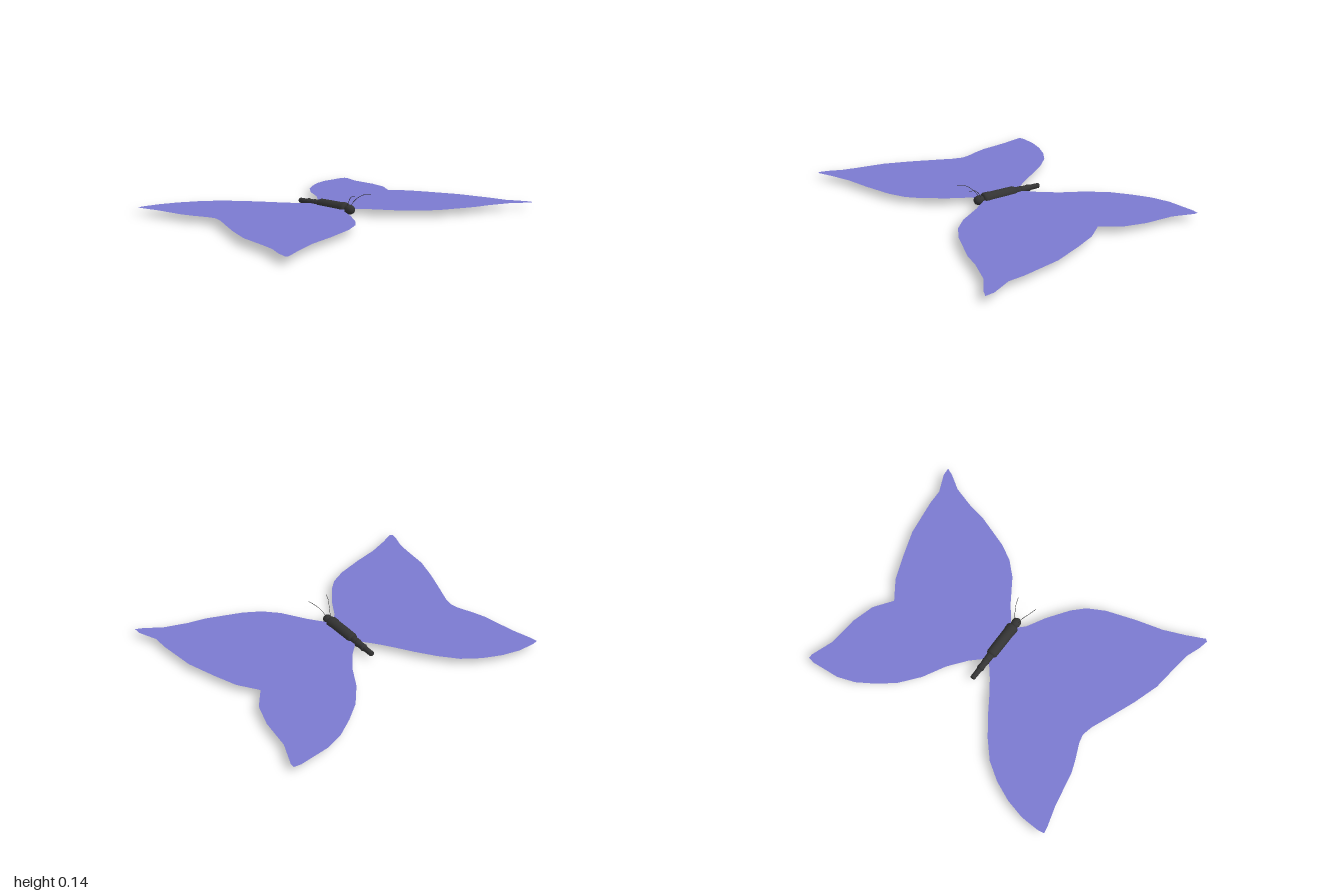
import * as THREE from 'three';

const AXIS_Y = 0.038;
const dark = new THREE.MeshStandardMaterial({ color: 0x333333 });
const wingMat = new THREE.MeshStandardMaterial({ color: 0x7b7ad0, side: THREE.DoubleSide });

// Wing outlines as [x, z], from the rear root round to the front root
const rightWing = [
  [0, -0.13], [-0.04, -0.17], [-0.085, -0.225], [-0.145, -0.31], [-0.21, -0.41], [-0.29, -0.52],
  [-0.38, -0.62], [-0.485, -0.69], [-0.6, -0.74], [-0.715, -0.768], [-0.825, -0.772],
  [-0.866, -0.765], [-0.86, -0.725], [-0.828, -0.6], [-0.797, -0.4], [-0.77, -0.32],
  [-0.733, -0.23], [-0.722, -0.175], [-0.738, -0.11], [-0.79, 0.01], [-0.855, 0.165],
  [-0.91, 0.325], [-0.936, 0.51], [-0.952, 0.6], [-0.984, 0.68], [-1, 0.745], [-0.985, 0.757],
  [-0.877, 0.705], [-0.743, 0.65], [-0.578, 0.607], [-0.396, 0.548], [-0.29, 0.49],
  [-0.22, 0.42], [-0.128, 0.29], [-0.064, 0.175], [0, 0.11],
];
const leftWing = [
  [0, -0.13], [0.085, -0.21], [0.17, -0.318], [0.246, -0.457], [0.342, -0.575], [0.444, -0.655],
  [0.545, -0.719], [0.652, -0.757], [0.825, -0.773], [0.866, -0.767], [0.866, -0.74],
  [0.82, -0.607], [0.807, -0.425], [0.77, -0.286], [0.69, -0.174], [0.775, -0.056],
  [0.834, 0.088], [0.898, 0.265], [0.936, 0.5], [0.941, 0.596], [0.995, 0.714], [1, 0.767],
  [0.952, 0.746], [0.856, 0.682], [0.711, 0.634], [0.6, 0.612], [0.385, 0.532],
  [0.283, 0.473], [0.198, 0.388], [0.102, 0.238], [0.032, 0.147], [0, 0.11],
];

function addWing(group, name, outline) {
  const shape = new THREE.Shape(outline.map(([x, z]) => new THREE.Vector2(x, -z)));
  const wing = new THREE.Mesh(new THREE.ShapeGeometry(shape).rotateX(-Math.PI / 2), wingMat);
  wing.name = name;
  wing.position.y = AXIS_Y;
  group.add(wing);
}

// Turned part lying along z; profile is [z, radius] from tail to head
function addTurned(group, name, profile) {
  const points = profile.map(([z, r]) => new THREE.Vector2(r, z));
  const mesh = new THREE.Mesh(new THREE.LatheGeometry(points, 20).rotateX(Math.PI / 2), dark);
  mesh.name = name;
  mesh.position.y = AXIS_Y;
  group.add(mesh);
}

export function createModel() {
  const model = new THREE.Group();
  model.name = 'butterfly';

  addWing(model, 'rightWing', rightWing);
  addWing(model, 'leftWing', leftWing);

  // Body
  addTurned(model, 'abdomenTip', [
    [-0.285, 0], [-0.285, 0.013], [-0.28, 0.016], [-0.21, 0.017], [-0.205, 0]]);
  addTurned(model, 'abdomenMiddle', [
    [-0.22, 0], [-0.216, 0.019], [-0.205, 0.023], [-0.19, 0.02], [-0.165, 0.02],
    [-0.15, 0.024], [-0.135, 0.02], [-0.13, 0]]);
  addTurned(model, 'abdomenBase', [
    [-0.15, 0], [-0.147, 0.02], [-0.135, 0.023], [-0.09, 0.024], [-0.085, 0]]);
  addTurned(model, 'thorax', [
    [-0.104, 0], [-0.104, 0.022], [-0.1, 0.03], [-0.09, 0.034], [0, 0.035], [0.075, 0.035],
    [0.085, 0.037], [0.115, 0.038], [0.125, 0.034], [0.129, 0.026], [0.129, 0]]);
  addTurned(model, 'head', [
    [0.12, 0], [0.125, 0.018], [0.135, 0.025], [0.15, 0.029], [0.165, 0.028],
    [0.178, 0.022], [0.185, 0.012], [0.187, 0]]);

  // Antennae
  for (const side of [-1, 1]) {
    const curve = new THREE.CatmullRomCurve3([
      [0.014, 0.055, 0.15], [0.02, 0.079, 0.162], [0.032, 0.107, 0.187],
      [0.05, 0.128, 0.22], [0.065, 0.136, 0.265],
    ].map(([x, y, z]) => new THREE.Vector3(side * x, y, z)));
    const antenna = new THREE.Mesh(new THREE.TubeGeometry(curve, 16, 0.0015, 6), dark);
    antenna.name = side > 0 ? 'leftAntenna' : 'rightAntenna';
    model.add(antenna);
  }
  return model;
}
